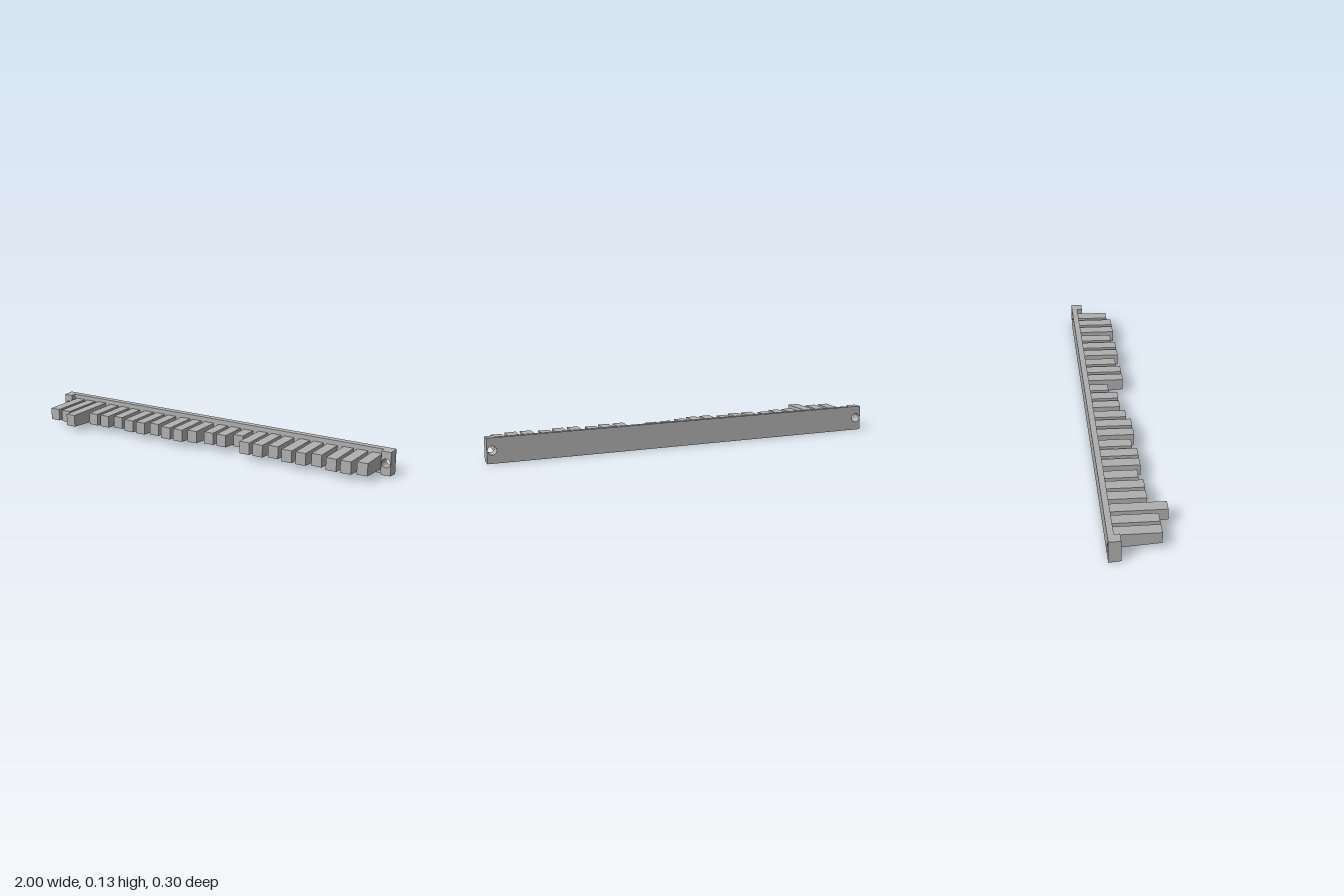
import * as THREE from 'three';

const MID = 0.063; // height of the centre line
const BACK = -0.15, FACE = -0.12, LUG = -0.092;

// Moves vertices so the height tapers toward the front: half height is half at z0, less slope per unit of z
function draft(geometry, height, half, z0, slope) {
  const p = geometry.attributes.position;
  for (let i = 0; i < p.count; i++) {
    const t = (p.getY(i) - MID) / (height / 2);
    if (Math.abs(t) > 0.99) p.setY(i, MID + Math.sign(t) * (half - slope * (p.getZ(i) - z0)));
  }
  geometry.computeVertexNormals();
  return geometry;
}

// Plate from x0 to x1 with round screw holes, extruded from z0 to z1
function plate(x0, x1, z0, z1, holes) {
  const h = MID;
  const shape = new THREE.Shape();
  shape.moveTo(x0, MID - h).lineTo(x1, MID - h).lineTo(x1, MID + h).lineTo(x0, MID + h).closePath();
  for (const x of holes) {
    shape.holes.push(new THREE.Path().absarc(x, MID + 0.001, 0.022, 0, Math.PI * 2, true));
  }
  const g = new THREE.ExtrudeGeometry(shape, { depth: z1 - z0, bevelEnabled: false, curveSegments: 24 });
  g.translate(0, 0, z0);
  return draft(g, 2 * h, MID, BACK, 0.07);
}

export function createModel() {
  const model = new THREE.Group();
  model.name = 'toothedBar';
  const grey = new THREE.MeshStandardMaterial({ color: 0xb0b0b0 });
  grey.name = 'grey';
  const add = (name, geometry) => {
    const mesh = new THREE.Mesh(geometry, grey);
    mesh.name = name;
    model.add(mesh);
  };

  // Long back bar and the thicker mounting lugs at its ends
  add('backBar', plate(-1, 1, BACK, FACE, [-0.974, 0.974]));
  add('rightLug', plate(-1, -0.95, FACE, LUG, [-0.974]));
  add('leftLug', plate(0.95, 1, FACE, LUG, [0.974]));

  // Eight groups of three tapered teeth; each entry gives the tip depths
  const usual = [0.064, 0.064, 0.043];
  const groups = [[0.101, 0.101, 0.15], usual, usual, usual, [0.021, 0.021, -0.021], usual, usual, usual];
  groups.forEach((tips, g) => tips.forEach((tip, i) => {
    const x = -0.832 + g * 0.239 + (i - 1) * 0.0755;
    const geometry = new THREE.BoxGeometry(0.055, 0.062, tip - FACE);
    geometry.translate(x, MID, (tip + FACE) / 2);
    add(`tooth${g * 3 + i + 1}`, draft(geometry, 0.062, 0.031, tip, 0.0375));
  }));
  return model;
}
